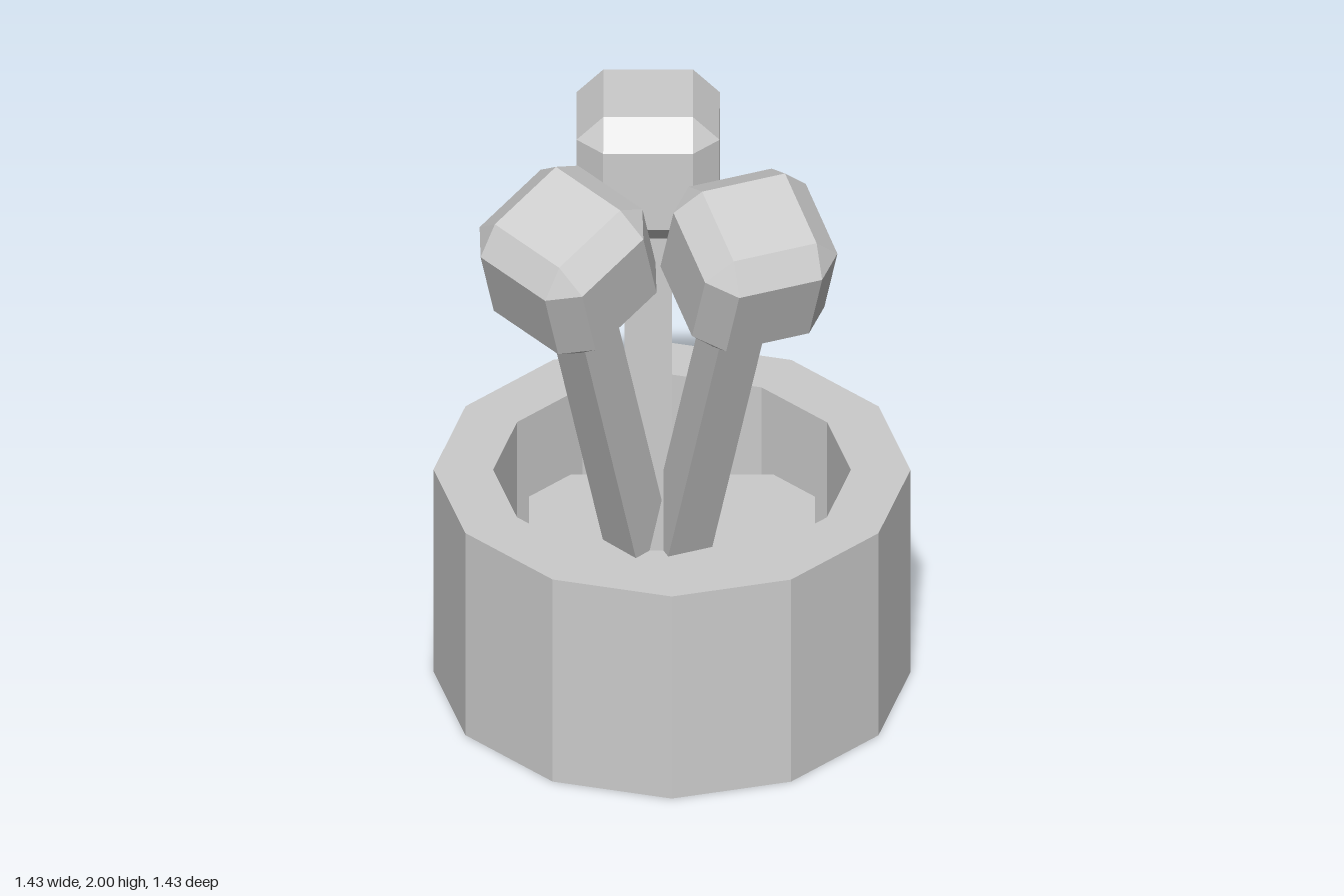
import * as THREE from 'three';
import { ConvexGeometry } from 'three/addons/geometries/ConvexGeometry.js';

const U = 1 / 7; // base module: 14 modules tall
const material = new THREE.MeshStandardMaterial({ color: 0xcccccc, flatShading: true });

function part(name, geometry, y = 0) {
  const mesh = new THREE.Mesh(geometry, material);
  mesh.name = name;
  mesh.position.y = y;
  return mesh;
}

// corners of a regular twelve-sided outline
function dodecagon(radius) {
  return Array.from({ length: 12 }, (_, i) => {
    const a = (i * Math.PI) / 6;
    return new THREE.Vector2(radius * Math.cos(a), radius * Math.sin(a));
  });
}

// cube with every edge cut off and triangular corners
function chamferedCube(size, cut) {
  const a = size / 2, b = a - cut, points = [];
  for (const x of [-1, 1]) for (const y of [-1, 1]) for (const z of [-1, 1]) {
    points.push(
      new THREE.Vector3(x * a, y * b, z * b),
      new THREE.Vector3(x * b, y * a, z * b),
      new THREE.Vector3(x * b, y * b, z * a)
    );
  }
  return new ConvexGeometry(points);
}

// square stem with a chamfered head, its origin at floor level
function createStalk(name, x, z, headHeight) {
  const stalk = new THREE.Group();
  stalk.name = name;
  const bottom = -0.1, top = headHeight - 0.1;
  stalk.add(
    part('stem', new THREE.BoxGeometry(U, top - bottom, U), (top + bottom) / 2),
    part('head', chamferedCube(3 * U, 0.08), headHeight)
  );
  stalk.position.set(x, 3 * U, z);
  return stalk;
}

export function createModel() {
  const model = new THREE.Group();
  model.name = 'pottedStalks';

  // thick-walled pot, open right through
  const outline = new THREE.Shape(dodecagon(5 * U));
  outline.holes.push(new THREE.Path(dodecagon(3.75 * U).reverse()));
  const wall = new THREE.ExtrudeGeometry(outline, { depth: 5 * U, bevelEnabled: false });
  wall.rotateX(-Math.PI / 2);
  model.add(part('pot', wall));

  // square block filling the lower part of the pot
  model.add(part('soil', new THREE.BoxGeometry(6 * U, 3 * U, 6 * U), 1.5 * U));

  // one upright stalk and two leaning forwards and outwards
  const lean = Math.PI / 8;
  const upright = createStalk('uprightStalk', -U / 2, -U / 2, 9.5 * U);
  const left = createStalk('leftStalk', 0.025, -0.065, 1.405);
  left.rotation.set(lean, lean, 0, 'YXZ');
  const right = createStalk('rightStalk', -0.105, -0.065, 1.405);
  right.rotation.set(lean, -lean, 0, 'YXZ');
  right.rotateY(-lean); // twisted about its own stem
  model.add(upright, left, right);

  return model;
}
